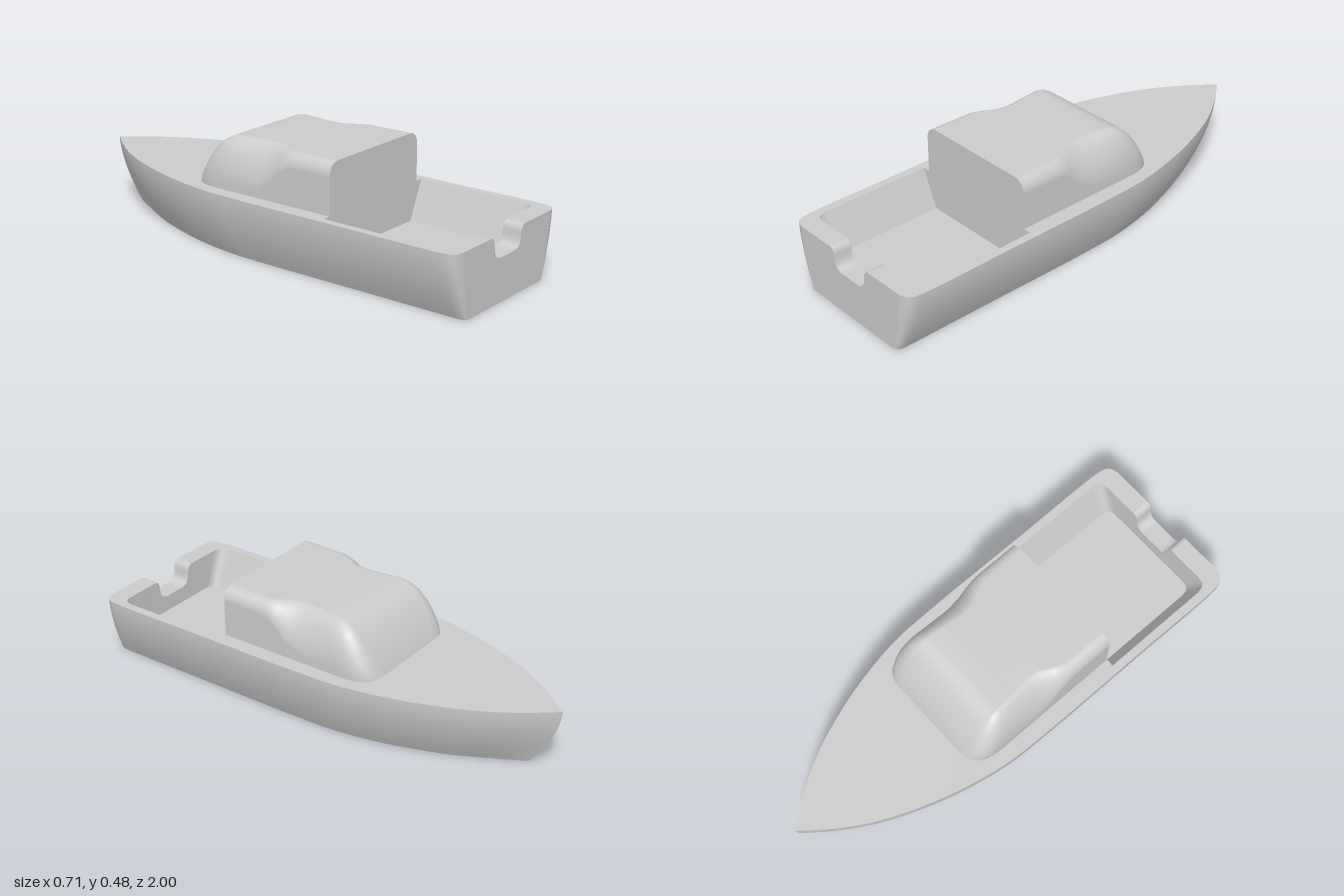
import * as THREE from 'three';

const DECK = 0.27, FLOOR = 0.11, ROOF = 0.48;
const material = new THREE.MeshStandardMaterial({ color: 0xcccccc, side: THREE.DoubleSide });
const V = (x, y, z) => new THREE.Vector3(x, y, z);
const lerp = THREE.MathUtils.lerp;

function add(group, name, geometry) {
  const mesh = new THREE.Mesh(geometry, material);
  mesh.name = name;
  group.add(mesh);
  return mesh;
}

// Smooth surface through rows of points with equal length
function loft(rows) {
  const n = rows[0].length, index = [];
  for (let i = 0; i < rows.length - 1; i++)
    for (let j = 0; j < n - 1; j++) {
      const a = i * n + j, b = a + n;
      index.push(a, b, a + 1, b, b + 1, a + 1);
    }
  const g = new THREE.BufferGeometry().setFromPoints(rows.flat());
  g.setIndex(index);
  g.computeVertexNormals();
  return g;
}

// Flat horizontal plate from [x, z] points
function plate(points, y) {
  const shape = new THREE.Shape(points.map(([x, z]) => new THREE.Vector2(x, z)));
  return new THREE.ShapeGeometry(shape).rotateX(Math.PI / 2).translate(0, y, 0);
}

const mirrored = (pts) => pts.map(([x, z]) => [-x, z]);

// Hull stations: z, half width at the deck, half width at the bottom
const stations = new THREE.CatmullRomCurve3([
  [-1, 0, 0], [-0.9, 0.08, 0.05], [-0.8, 0.147, 0.1], [-0.7, 0.2, 0.145], [-0.55, 0.26, 0.195],
  [-0.4, 0.305, 0.235], [-0.2, 0.343, 0.265], [0, 0.352, 0.272], [0.5, 0.353, 0.272],
  [0.93, 0.353, 0.272], [0.97, 0.346, 0.271], [0.99, 0.33, 0.266], [1, 0.3, 0.255],
].map((p) => V(...p))).getPoints(84);

const flare = (y) => 1 - Math.pow(1 - y / DECK, 1.7);

function hullPoint(s, y, side) {
  const f = flare(y);
  const zBottom = 1 - (1 - s.x) * 0.935; // raked stem
  return V(side * lerp(s.z, s.y, f), y, lerp(zBottom, s.x, f));
}

function buildHull(boat) {
  const levels = Array.from({ length: 13 }, (_, i) => DECK * (i / 12));
  for (const side of [1, -1])
    add(boat, side > 0 ? 'leftHullSide' : 'rightHullSide',
      loft(stations.map((s) => levels.map((y) => hullPoint(s, y, side)))));

  const keel = stations.map((s) => { const p = hullPoint(s, 0, 1); return [p.x, p.z]; });
  add(boat, 'hullBottom', plate([...keel, ...mirrored(keel).reverse().slice(0, -1)], 0));

  // Transom with a rounded notch in its top edge
  const last = stations[stations.length - 1];
  const edge = levels.map((y) => hullPoint(last, y, 1));
  const shape = new THREE.Shape();
  shape.moveTo(-edge[0].x, 0);
  edge.forEach((p) => shape.lineTo(p.x, p.y));
  shape.lineTo(0.118, DECK);
  shape.quadraticCurveTo(0.095, 0.268, 0.092, 0.235);
  shape.bezierCurveTo(0.088, 0.195, 0.078, 0.18, 0.045, 0.179);
  shape.lineTo(-0.045, 0.179);
  shape.bezierCurveTo(-0.078, 0.18, -0.088, 0.195, -0.092, 0.235);
  shape.quadraticCurveTo(-0.095, 0.268, -0.118, DECK);
  [...edge].reverse().forEach((p) => shape.lineTo(-p.x, p.y));
  add(boat, 'transom', new THREE.ExtrudeGeometry(shape, { depth: 0.08, bevelEnabled: false, curveSegments: 8 })
    .translate(0, 0, 0.92));
}

// Left half of the cockpit outline, from the cabin to the notch
const rim = [[0.32, 0.39], [0.32, 0.87], [0.314, 0.9], [0.3, 0.914], [0.27, 0.919], [0.118, 0.919]];
const sole = [[0.25, 0.39], [0.25, 0.87], [0.245, 0.9], [0.232, 0.914], [0.21, 0.919], [0.118, 0.919]];

function buildDeckAndCockpit(boat) {
  const sheer = stations.map((s) => [s.y, s.x]);
  add(boat, 'deck', plate([
    ...sheer, [0.118, 1], ...[...rim].reverse(),
    ...mirrored(rim), [-0.118, 1], ...mirrored(sheer).reverse().slice(0, -1),
  ], DECK));
  add(boat, 'cockpitFloor', plate([...sole, ...mirrored(sole).reverse()], FLOOR));
  for (const side of [1, -1])
    add(boat, side > 0 ? 'leftCockpitWall' : 'rightCockpitWall', loft([
      rim.map(([x, z]) => V(side * x, DECK, z)),
      sole.map(([x, z]) => V(side * x, FLOOR, z)),
    ]));
}

// Cabin cross-section: straight sides with softened roof corners
function cabinSection([z, half, top, rx, ry, power]) {
  const h = top - DECK, ryFit = Math.min(ry, h), right = [V(half, DECK, z)];
  for (let i = 0; i <= 12; i++) {
    const a = (i / 12) * Math.PI / 2;
    right.push(V(
      half - rx + rx * Math.pow(Math.max(Math.cos(a), 0), 2 / power),
      top - ryFit + ryFit * Math.pow(Math.sin(a), 2 / power), z));
  }
  return [...right, ...[...right].reverse().map((p) => V(-p.x, p.y, p.z))];
}

function buildCabin(boat) {
  // z, half width, roof height, corner width, corner height, corner power
  const keys = [
    [-0.312, 0.2, DECK, 0.05, 0.05, 2], [-0.3, 0.237, 0.3, 0.06, 0.06, 2],
    [-0.28, 0.26, 0.34, 0.07, 0.08, 2], [-0.25, 0.276, 0.387, 0.075, 0.11, 2],
    [-0.22, 0.283, 0.425, 0.08, 0.14, 2], [-0.19, 0.285, 0.453, 0.082, 0.16, 2],
    [-0.16, 0.286, 0.47, 0.085, 0.17, 1.9], [-0.125, 0.286, ROOF, 0.088, 0.18, 1.8],
    [-0.05, 0.286, ROOF, 0.095, 0.18, 1.7], [0.03, 0.286, ROOF, 0.105, 0.17, 1.6],
    [0.09, 0.286, ROOF, 0.1, 0.14, 1.6], [0.14, 0.286, ROOF, 0.075, 0.09, 1.8],
    [0.19, 0.286, ROOF, 0.055, 0.06, 2], [0.39, 0.286, ROOF, 0.05, 0.055, 2],
  ];
  const sections = keys.map(cabinSection);
  add(boat, 'cabin', loft(sections));

  // Rear bulkhead reaches down to the cockpit floor
  const outline = [V(0.25, FLOOR, 0), V(0.32, DECK, 0), ...sections[sections.length - 1],
    V(-0.32, DECK, 0), V(-0.25, FLOOR, 0)];
  const shape = new THREE.Shape(outline.map((p) => new THREE.Vector2(p.x, p.y)));
  add(boat, 'cabinBulkhead', new THREE.ShapeGeometry(shape).translate(0, 0, 0.39));
}

export function createModel() {
  const boat = new THREE.Group();
  boat.name = 'cabinBoat';
  buildHull(boat);
  buildDeckAndCockpit(boat);
  buildCabin(boat);
  return boat;
}
